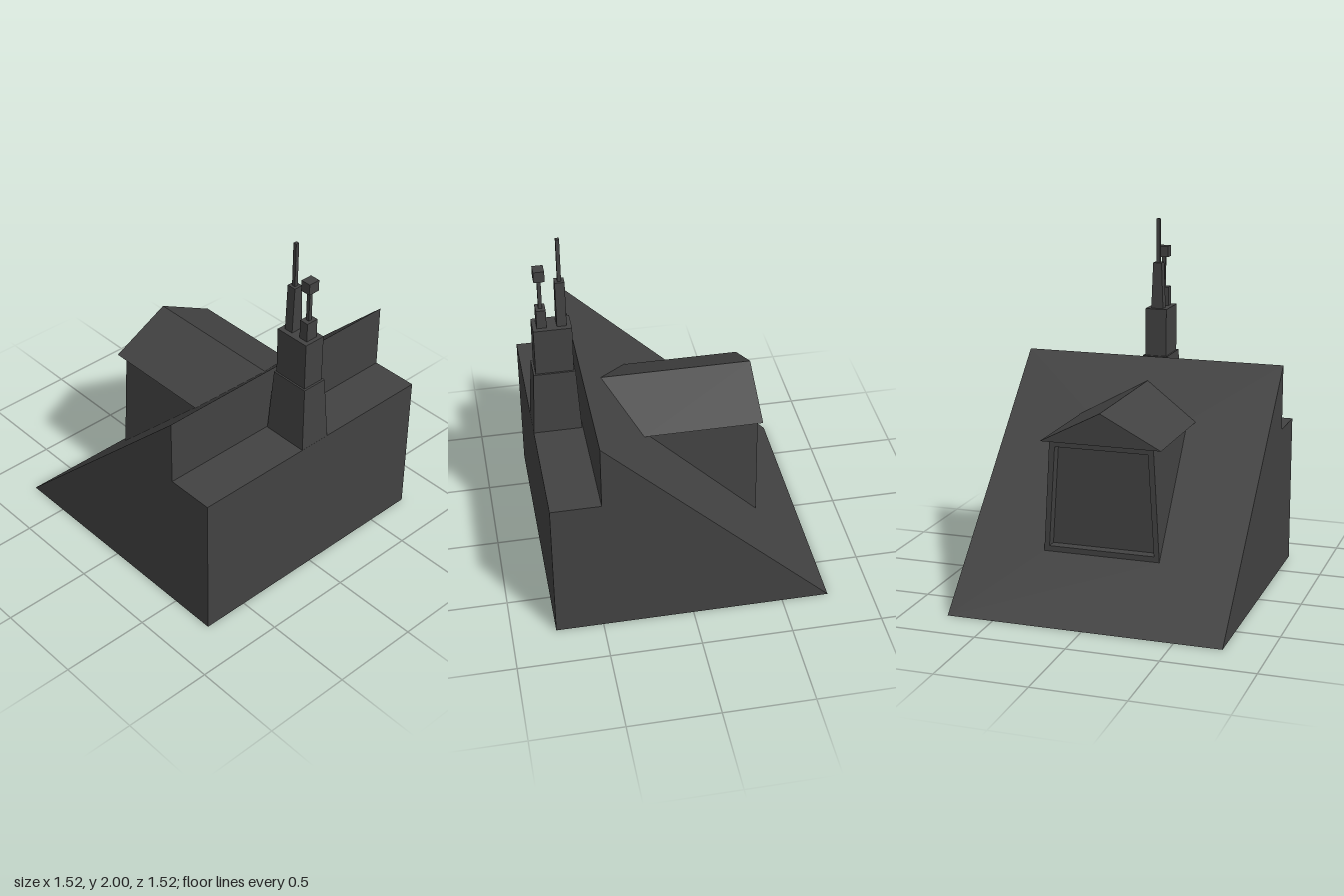
import * as THREE from 'three';

export function createModel() {
  const model = new THREE.Group();
  const slate = new THREE.MeshStandardMaterial({ color: 0x424242, side: THREE.DoubleSide });
  slate.name = 'dark slate grey';

  const add = (name, geo) => {
    const mesh = new THREE.Mesh(geo, slate);
    mesh.name = name;
    model.add(mesh);
    return mesh;
  };

  // Flat convex panels, each a list of corners, counter-clockwise from outside
  const panels = (name, ...polys) => {
    const pos = [];
    for (const p of polys)
      for (let i = 1; i < p.length - 1; i++) pos.push(...p[0], ...p[i], ...p[i + 1]);
    const geo = new THREE.BufferGeometry();
    geo.setAttribute('position', new THREE.Float32BufferAttribute(pos, 3));
    geo.computeVertexNormals();
    return add(name, geo);
  };

  // Box from y0 to y1, whose top may be narrower than its base
  const block = (name, x, y0, y1, w, d, topW = w, topD = d) => {
    const geo = new THREE.BoxGeometry(w, y1 - y0, d);
    const p = geo.attributes.position;
    for (let i = 0; i < p.count; i++)
      if (p.getY(i) > 0) {
        p.setX(i, p.getX(i) * topW / w);
        p.setZ(i, p.getZ(i) * topD / d);
      }
    geo.computeVertexNormals();
    geo.translate(x, (y0 + y1) / 2, 0);
    return add(name, geo);
  };

  const H = 0.76, topX = 0.49, topY = 1.215, deckY = 0.845;
  const slopeX = (y) => -H + y * (topX + H) / topY;
  const trapezoid = (y0, y1, half0, half1, Type = THREE.Shape) => {
    const s = new Type();
    s.moveTo(-half0, y0);
    s.lineTo(half0, y0);
    s.lineTo(half1, y1);
    s.lineTo(-half1, y1);
    s.closePath();
    return s;
  };

  // Gable end walls, open underneath
  const profile = new THREE.Shape([
    [-H, 0], [H, 0], [H, deckY], [topX, deckY], [topX, topY],
  ].map(([x, y]) => new THREE.Vector2(x, y)));
  add('frontWall', new THREE.ShapeGeometry(profile)).position.z = H;
  const back = new THREE.ShapeGeometry(profile);
  back.scale(-1, 1, 1);
  back.index.array.reverse();
  back.rotateY(Math.PI);
  back.computeVertexNormals();
  add('backWall', back).position.z = -H;

  // Tall side wall, flat deck and the upstand behind the slope
  panels('sideWall', [[H, 0, H], [H, 0, -H], [H, deckY, -H], [H, deckY, H]]);
  panels('deck', [[topX, deckY, H], [H, deckY, H], [H, deckY, -H], [topX, deckY, -H]]);
  panels('upstand', [[topX, deckY, H], [topX, deckY, -H], [topX, topY, -H], [topX, topY, H]]);

  // Sloping roof with the dormer opening
  const sillY = 0.31, eaveY = 0.925, ridgeY = 1.1, base = 0.325, head = 0.29;
  const len = Math.hypot(topX + H, topY), k = len / topY;
  const slope = trapezoid(0, len, H, H);
  slope.holes.push(trapezoid(sillY * k, eaveY * k, base, head, THREE.Path));
  const slopeGeo = new THREE.ShapeGeometry(slope);
  const along = new THREE.Vector3((topX + H) / len, topY / len, 0);
  const across = new THREE.Vector3(0, 0, 1);
  const basis = new THREE.Matrix4().makeBasis(across, along, across.clone().cross(along));
  slopeGeo.applyMatrix4(basis.setPosition(-H, 0, 0));
  add('roofSlope', slopeGeo);

  // Dormer cheeks
  const faceX = slopeX(sillY);
  for (const s of [1, -1]) {
    const cheek = [[faceX, sillY, s * base], [slopeX(eaveY), eaveY, s * head], [faceX, eaveY, s * head]];
    panels('dormerCheek', s > 0 ? cheek : cheek.reverse());
  }

  // Dormer window frame and recessed pane
  const rim = 0.03, depth = 0.06;
  const frame = trapezoid(sillY, eaveY, base, head);
  frame.holes.push(trapezoid(sillY + rim, eaveY - rim, base - rim, head - rim, THREE.Path));
  const frameGeo = new THREE.ExtrudeGeometry(frame, { depth, bevelEnabled: false });
  frameGeo.rotateY(-Math.PI / 2);
  add('windowFrame', frameGeo).position.x = faceX + depth;
  const pane = new THREE.ShapeGeometry(trapezoid(sillY + rim, eaveY - rim, base - rim, head - rim));
  pane.rotateY(-Math.PI / 2);
  add('windowPane', pane).position.x = faceX + depth;

  // Dormer roof: two pitches, gable and soffit
  const rx = -0.46, eave = 0.337, ex = slopeX(eaveY), ridgeX = slopeX(ridgeY);
  const ridgeFront = [rx, ridgeY, 0], ridgeBack = [ridgeX, ridgeY, 0];
  const corner = (x, s) => [x, eaveY, s * eave];
  panels('dormerRoof',
    [corner(rx, 1), corner(ex, 1), ridgeBack, ridgeFront],
    [ridgeFront, ridgeBack, corner(ex, -1), corner(rx, -1)],
    [corner(rx, -1), corner(rx, 1), ridgeFront],
    [corner(rx, -1), corner(ex, -1), corner(ex, 1), corner(rx, 1)]);

  // Chimney stack
  block('chimneyBase', 0.627, deckY, 1.215, 0.265, 0.185, 0.225, 0.145);
  block('chimneyStack', 0.625, 1.215, 1.487, 0.205, 0.125);

  // Tall flue with rod
  block('tallFlue', 0.573, 1.487, 1.75, 0.052, 0.07, 0.052, 0.05);
  block('tallRod', 0.573, 1.75, 2, 0.02, 0.02);

  // Short flue with capped rod
  block('shortFlue', 0.679, 1.487, 1.595, 0.052, 0.07);
  block('shortRod', 0.679, 1.595, 1.77, 0.02, 0.02);
  block('rodCap', 0.679, 1.77, 1.832, 0.058, 0.066);

  return model;
}
